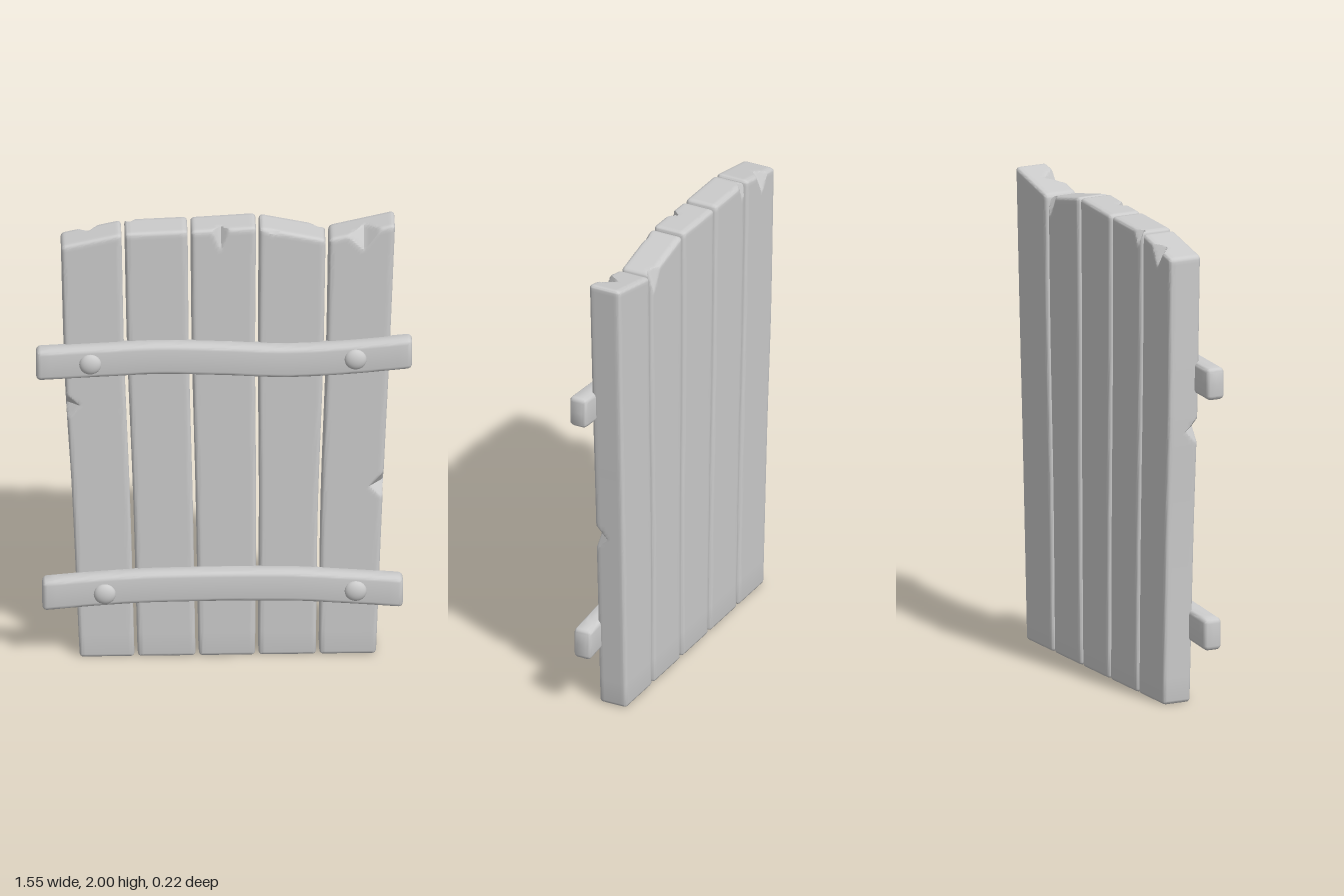
import * as THREE from 'three';
import { mergeVertices, toCreasedNormals } from 'three/addons/utils/BufferGeometryUtils.js';

const material = new THREE.MeshStandardMaterial({ color: 0xcccccc });
const lerp = THREE.MathUtils.lerp;

// Piecewise smooth curve through [position, value] pairs
function curve(points) {
  return (t) => {
    let i = 0;
    while (i < points.length - 2 && t > points[i + 1][0]) i++;
    const [a, b] = [points[i], points[i + 1]];
    const slope = (k) => {
      const p = points[Math.max(k - 1, 0)], q = points[Math.min(k + 1, points.length - 1)];
      return (q[1] - p[1]) / (q[0] - p[0]);
    };
    const w = b[0] - a[0];
    const s = THREE.MathUtils.clamp((t - a[0]) / w, 0, 1);
    const s2 = s * s, s3 = s2 * s;
    return (2 * s3 - 3 * s2 + 1) * a[1] + (s3 - 2 * s2 + s) * w * slope(i)
      + (3 * s2 - 2 * s3) * b[1] + (s3 - s2) * w * slope(i + 1);
  };
}

// Grid positions across a rounded side, with extra lines in the bevels
function gridLines(half, r, n, extra = []) {
  const lines = [-half, -half + 0.59 * r, half - 0.59 * r, half];
  for (let i = 0; i <= n; i++) lines.push(lerp(-half + r, half - r, i / n));
  return lines.concat(extra).sort((a, b) => a - b);
}

// Rounded box on a chosen grid; chips are cut first, then warp bends the result
function roundedPiece(half, r, lines, chips, warp) {
  const n = lines.map((l) => l.length - 1);
  let geometry = new THREE.BoxGeometry(1, 1, 1, ...n);
  geometry.deleteAttribute('uv');
  geometry.deleteAttribute('normal');
  geometry = mergeVertices(geometry, 1e-5);
  const pos = geometry.attributes.position;
  const p = new THREE.Vector3(), inner = new THREE.Vector3();
  const limit = half.clone().subScalar(r);
  const low = limit.clone().negate();
  for (let i = 0; i < pos.count; i++) {
    p.fromBufferAttribute(pos, i);
    ['x', 'y', 'z'].forEach((axis, k) => { p[axis] = lines[k][Math.round((p[axis] + 0.5) * n[k])]; });
    inner.copy(p).clamp(low, limit);
    p.sub(inner).setLength(r).add(inner);
    for (const chip of chips) cutChip(p, half, chip);
    warp(p);
    pos.setXYZ(i, p.x, p.y, p.z);
  }
  return toCreasedNormals(geometry, 0.6);
}

// Pushes points back onto a V-shaped notch across an edge of the box
function cutChip(p, half, { along, at, width, cuts }) {
  const tent = 1 - Math.abs(p[along] - at) / width;
  if (tent <= 0) return;
  let excess = tent, norm = 0;
  for (const [axis, side, depth] of cuts) {
    excess += (p[axis] * side - half[axis]) / depth;
    norm += 1 / depth ** 2;
  }
  if (excess <= 0) return;
  for (const [axis, side, depth] of cuts) p[axis] -= (side * excess) / depth / norm;
}

const topChip = (at, width, side, down, deep) =>
  ({ along: 'x', at, width, cuts: [['y', 1, down], ['z', side, deep]] });
const edgeChip = (height, side) =>
  ({ along: 'y', at: height - 1, width: 0.065, cuts: [['x', side, 0.055], ['z', 1, 0.06]] });

// Seams between the planks, as x over height
const seams = [
  [[0, -0.603], [0.8, -0.635], [1.3, -0.662], [2, -0.68]],
  [[0, -0.363], [0.7, -0.38], [1.4, -0.405], [2, -0.417]],
  [[0, -0.111], [0.7, -0.122], [1.4, -0.138], [2, -0.144]],
  [[0, 0.135], [0.7, 0.139], [1.4, 0.135], [2, 0.139]],
  [[0, 0.386], [0.7, 0.394], [1.4, 0.416], [2, 0.426]],
  [[0, 0.634], [0.8, 0.664], [1.4, 0.69], [2, 0.713]],
].map(curve);

// Top heights at both sides, and damage, of each plank
const planks = [
  { top: [1.92, 1.975], chips: [topChip(-0.01, 0.05, -1, 0.09, 0.045), edgeChip(1.22, -1)] },
  { top: [1.977, 1.987], chips: [topChip(-0.1, 0.03, -1, 0.08, 0.035)] },
  { top: [1.985, 2], chips: [topChip(-0.01, 0.035, 1, 0.1, 0.04)] },
  { top: [1.997, 1.938], chips: [topChip(0.1, 0.05, -1, 0.1, 0.035), topChip(-0.07, 0.07, 1, 0.02, 0.015)] },
  { top: [1.94, 2.003], chips: [topChip(0.01, 0.065, 1, 0.09, 0.07), edgeChip(0.79, 1)] },
];

function plankGeometry({ top, chips }, left, right) {
  const half = new THREE.Vector3(0.12, 1, 0.07), r = 0.016;
  const extra = [];
  // Finer rows near the top and around the edge notches
  for (let y = 0.85; y < 0.98; y += 0.012) extra.push(y);
  for (const chip of chips) {
    if (chip.along === 'y') for (let k = -7; k <= 7; k++) extra.push(chip.at + k * 0.01);
  }
  const lines = [gridLines(half.x, r, 24), gridLines(half.y, r, 20, extra), gridLines(half.z, r, 9)];
  return roundedPiece(half, r, lines, chips, (p) => {
    const u = p.x / half.x / 2 + 0.5;
    const y = p.y + 1;
    p.x = lerp(left(y) + 0.007, right(y) - 0.007, u);
    p.y = (y * lerp(top[0], top[1], u)) / 2;
    p.z = p.z * lerp(0.9, 1.03, y / 2) - 0.038;
  });
}

// Cross straps: ends and a bent centre line
const straps = [
  {
    name: 'upperStrap', ends: [-0.778, 0.775],
    line: [[-0.778, 1.392], [-0.5, 1.405], [-0.27, 1.414], [0, 1.405], [0.25, 1.392], [0.5, 1.402], [0.775, 1.426]],
    rivets: [[-0.555, 1.402], [0.541, 1.41]],
  },
  {
    name: 'lowerStrap', ends: [-0.752, 0.737],
    line: [[-0.752, 0.318], [-0.5, 0.339], [-0.27, 0.35], [0.25, 0.35], [0.5, 0.334], [0.737, 0.314]],
    rivets: [[-0.495, 0.33], [0.541, 0.33]],
  },
];

function strapGeometry({ ends, line }) {
  const half = new THREE.Vector3((ends[1] - ends[0]) / 2, 0.068, 0.04), r = 0.02;
  const lines = [gridLines(half.x, r, 40), gridLines(half.y, r, 2), gridLines(half.z, r, 2)];
  const centre = curve(line);
  return roundedPiece(half, r, lines, [], (p) => {
    p.x += (ends[0] + ends[1]) / 2;
    p.y += centre(p.x);
    p.z += 0.05;
  });
}

export function createModel() {
  const group = new THREE.Group();
  const add = (name, geometry) => {
    const mesh = new THREE.Mesh(geometry, material);
    mesh.name = name;
    group.add(mesh);
    return mesh;
  };

  planks.forEach((plank, i) => add(`plank${i + 1}`, plankGeometry(plank, seams[i], seams[i + 1])));

  // Domed rivets sit on the front of the straps
  const dome = new THREE.SphereGeometry(0.046, 24, 8, 0, Math.PI * 2, 0, Math.PI / 2).rotateX(Math.PI / 2);
  for (const strap of straps) {
    add(strap.name, strapGeometry(strap));
    for (const [x, y] of strap.rivets) {
      const rivet = add('rivet', dome);
      rivet.position.set(x, y, 0.088);
      rivet.scale.z = 0.58;
    }
  }
  return group;
}
